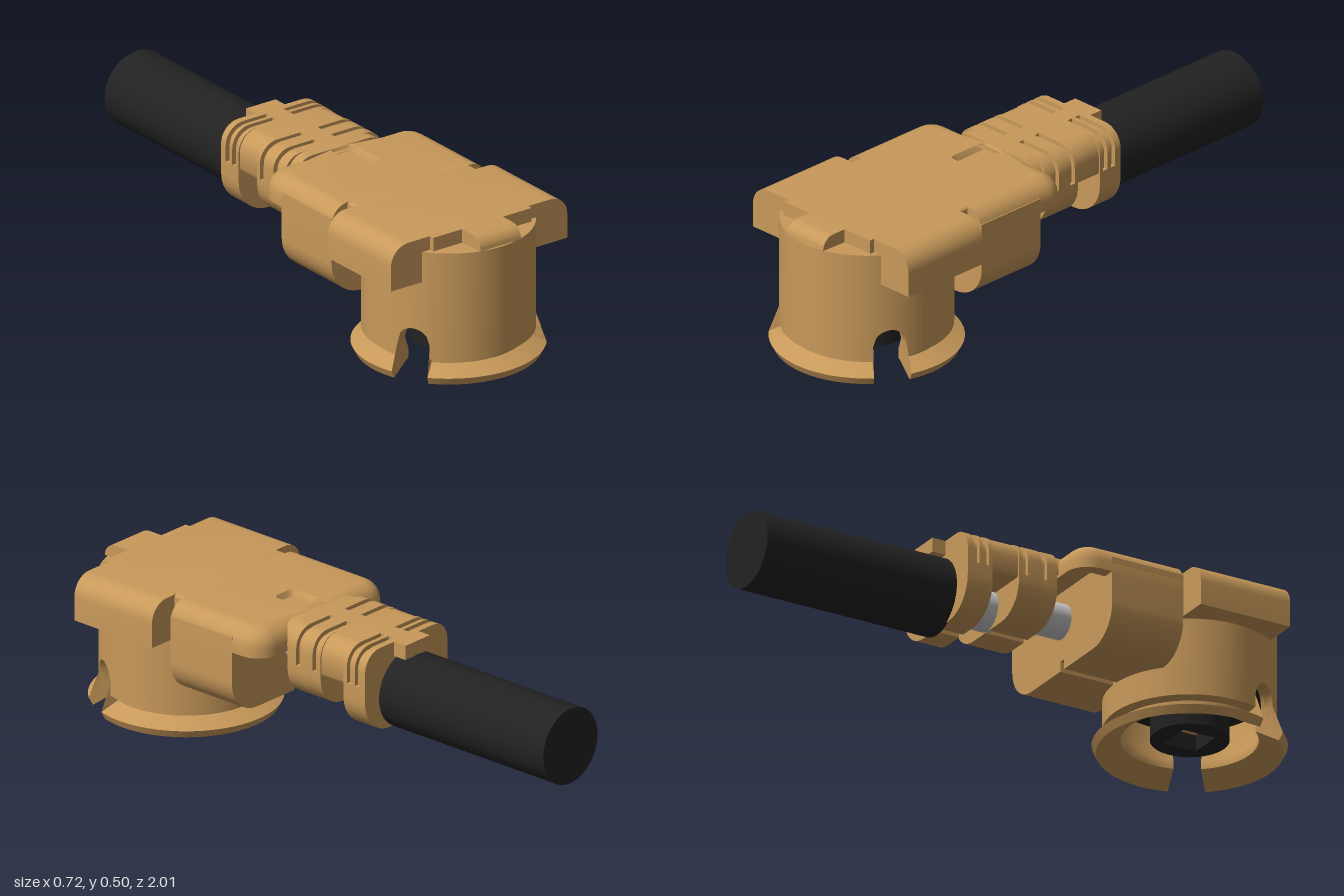
import * as THREE from 'three';
import { toCreasedNormals } from 'three/addons/utils/BufferGeometryUtils.js';

const brass = new THREE.MeshStandardMaterial({ color: 0xc8995a });
const brassThin = new THREE.MeshStandardMaterial({ color: 0xc8995a, side: THREE.DoubleSide });
const black = new THREE.MeshStandardMaterial({ color: 0x222222 });
const grey = new THREE.MeshStandardMaterial({ color: 0xcccccc });
const TOP = 0.505, CZ = 0.685, AXIS = 0.325;

// Skin over rings of equal point count
function loft(rings, wrap = false) {
  const n = rings[0].length, m = rings.length, idx = [];
  for (let i = 0; i < (wrap ? m : m - 1); i++) for (let j = 0; j < n; j++) {
    const a = i * n + j, b = ((i + 1) % m) * n + j;
    const c = ((i + 1) % m) * n + (j + 1) % n, d = i * n + (j + 1) % n;
    idx.push(a, b, c, a, c, d);
  }
  const g = new THREE.BufferGeometry();
  g.setAttribute('position', new THREE.Float32BufferAttribute(rings.flat(2), 3));
  g.setIndex(idx);
  return toCreasedNormals(g, 0.6);
}

// Horizontal rounded rectangle at height y, cut flat at z = zMax
function ring(cx, cz, hx, hz, r, y, zMax = 9) {
  const pts = [];
  for (let q = 0; q < 4; q++) for (let k = 0; k <= 6; k++) {
    const a = (q + k / 6) * Math.PI / 2;
    const sx = q === 0 || q === 3 ? 1 : -1, sz = q < 2 ? 1 : -1;
    pts.push([cx + sx * (hx - r) + r * Math.cos(a), y, Math.min(zMax, cz + sz * (hz - r) + r * Math.sin(a))]);
  }
  return pts;
}

// Quarter arc points from angle a0 to a1 (degrees)
function arc(cx, cy, r, a0, a1, n = 8) {
  return Array.from({ length: n + 1 }, (_, i) => {
    const a = THREE.MathUtils.degToRad(a0 + (a1 - a0) * i / n);
    return [cx + r * Math.cos(a), cy + r * Math.sin(a)];
  });
}

// Mirrored outline from its right half, top to bottom
function mirrored(half) {
  const left = half.map(([x, y]) => [-x, y]).reverse();
  return new THREE.Shape([...half, ...left].map(p => new THREE.Vector2(...p)));
}

function alongZ(shape, z0, z1) {
  const g = new THREE.ExtrudeGeometry(shape, { depth: z1 - z0, bevelEnabled: false });
  return toCreasedNormals(g.translate(0, 0, z0), 0.6);
}

// U channel with rounded shoulders
function channel(hx, low, inner, r) {
  return mirrored([...arc(hx - r, TOP - r, r, 90, 0), [hx, low], [inner, low], [inner, 0.457]]);
}

// Crimp section, optionally with a groove around each shoulder
function crimpShape(hx, low, r, groove) {
  const d = groove ? 0.016 : 0, half = [];
  if (groove) half.push([0.035, TOP], [0.035, TOP - d]);
  half.push(...arc(hx - 0.07, TOP - 0.07, 0.07 - d, 90, 0));
  if (groove) half.push([hx - d, 0.38], [hx, 0.38]);
  half.push(...arc(hx - r, low + r, r, 0, -90), [0.012, low], [0.012, low + 0.035]);
  return mirrored(half);
}

// Barrel wall with flared lip, swept round and opened by two arched slots
function barrelGeometry() {
  const profile = [[0.285, 0.457], [0.285, 0.078], [0.258, 0.068], [0.258, 0.056], [0.32, 0.027],
    [0.306, 0], [0.225, 0.045], [0.225, 0.075], [0.245, 0.105], [0.245, 0.457]];
  const arcs = [[17.5, 40.5, 12, true], [40.5, 139.5, 30, false], [139.5, 162.5, 12, true], [162.5, 377.5, 64, false]];
  const rings = [];
  for (const [a0, a1, n, slot] of arcs) for (let i = 0; i <= n; i++) {
    const a = THREE.MathUtils.degToRad(a0 + (a1 - a0) * i / n), t = 2 * i / n - 1;
    const arch = 0.123 + 0.057 * Math.sqrt(Math.max(0, 1 - t * t));
    rings.push(profile.map(([r, y]) => {
      if (slot) { r = THREE.MathUtils.clamp(r, 0.245, 0.285); y = Math.max(y, arch); }
      return [r * Math.cos(a), y, CZ + r * Math.sin(a)];
    }));
  }
  return loft(rings, true);
}

export function createModel() {
  const model = new THREE.Group();
  const add = (name, geo, mat = brass) => {
    const mesh = new THREE.Mesh(geo, mat);
    mesh.name = name;
    model.add(mesh);
    return mesh;
  };
  const box = (name, x, y0, y1, z0, z1) => add(name,
    new THREE.BoxGeometry(2 * x, y1 - y0, z1 - z0).translate(0, (y0 + y1) / 2, (z0 + z1) / 2));
  const rod = (name, r, y, z0, z1, mat) => add(name,
    new THREE.CylinderGeometry(r, r, z1 - z0, 48).rotateX(Math.PI / 2).translate(0, y, (z0 + z1) / 2), mat);

  // Mating barrel and its insulator
  add('barrel', barrelGeometry(), brassThin);
  add('barrelRoof', new THREE.CylinderGeometry(0.28, 0.28, 0.02, 64).translate(0, 0.446, CZ));
  add('insulatorBase', new THREE.CylinderGeometry(0.243, 0.243, 0.25, 48).translate(0, 0.315, CZ), black);
  const collar = new THREE.Shape().absarc(0, 0, 0.13, 0, Math.PI * 2);
  collar.holes.push(new THREE.Path([[-1, -1], [-1, 1], [1, 1], [1, -1]].map(([x, y]) => new THREE.Vector2(x * 0.06, y * 0.06))));
  const collarGeo = new THREE.ExtrudeGeometry(collar, { depth: 0.15, bevelEnabled: false, curveSegments: 24 });
  add('insulatorCollar', toCreasedNormals(collarGeo.rotateX(-Math.PI / 2).translate(0, 0.045, CZ), 0.6), black);
  box('contact', 0.058, 0.1, 0.2, CZ - 0.058, CZ + 0.058);

  // Cover with side wings, notched neck and front tab
  add('coverWings', alongZ(channel(0.36, 0.35, 0.23, 0.07), 0.51, 0.85));
  add('coverNeck', alongZ(channel(0.25, 0.35, 0.23, 0.01), 0.465, 0.515));
  box('coverFrontLip', 0.2, 0.457, TOP, 0.845, 0.868);
  const tab = new THREE.Shape([[0.84, 0.457], ...arc(0.922, 0.46, 0.045, 0, 90), [0.84, TOP]].map(p => new THREE.Vector2(...p)));
  const tabGeo = new THREE.ExtrudeGeometry(tab, { depth: 0.166, bevelEnabled: false });
  add('frontTab', toCreasedNormals(tabGeo.rotateY(-Math.PI / 2).translate(0.083, 0, 0), 0.6));

  // Rear cover: hollow below, rounded edges, small pocket on top
  const cover = (inset, y) => ring(0, 0.35, 0.315 - inset, 0.275 - inset, 0.08 - inset, y, 0.47);
  const pocket = (s, y) => ring(0, 0.18, 0.046 - s, 0.08 - s, 0.02, y);
  const rings = [ring(0, 0.35, 0.001, 0.001, 0.001, 0.46), cover(0.045, 0.46), cover(0.045, 0.41), cover(0, 0.41)];
  for (const [s, c] of arc(0, 0, 0.065, 0, 90, 7)) rings.push(cover(0.065 - s, TOP - 0.065 + c));
  rings.push(pocket(0, TOP), pocket(0.01, TOP - 0.02), ring(0, 0.18, 0.001, 0.001, 0.001, TOP - 0.02));
  add('rearCover', loft(rings));

  // Folded lower body
  add('foldedBody', alongZ(mirrored([[0.315, 0.462], ...arc(0.195, 0.3, 0.12, 0, -90, 12), [0.012, 0.18], [0.012, 0.215]]), 0.2, 0.47));

  // Crimp sections: [z0, z1, half width, lowest y, lower radius, grooved]
  const crimps = [
    [0.05, 0.1, 0.185, 0.42, 0.01, false],
    [0.022, 0.06, 0.2, 0.25, 0.11, false], [0.002, 0.022, 0.2, 0.25, 0.11, true],
    [-0.05, 0.002, 0.2, 0.25, 0.11, false], [-0.07, -0.05, 0.2, 0.25, 0.11, true],
    [-0.085, -0.07, 0.2, 0.25, 0.11, false], [-0.185, -0.085, 0.195, 0.37, 0.01, false],
    [-0.2, -0.185, 0.2, 0.21, 0.12, false], [-0.22, -0.2, 0.2, 0.21, 0.12, true],
    [-0.235, -0.22, 0.2, 0.21, 0.12, false], [-0.255, -0.235, 0.2, 0.21, 0.12, true],
    [-0.28, -0.255, 0.2, 0.21, 0.12, false],
  ];
  for (const [z0, z1, hx, low, r, groove] of crimps) add('crimp', alongZ(crimpShape(hx, low, r, groove), z0, z1));
  box('rearTab', 0.06, 0.455, TOP, -0.33, -0.275);

  // Cable and its stripped core
  rod('cableCore', 0.06, 0.352, 0.09, 0.25, grey);
  rod('cableCoreStep', 0.052, 0.336, 0.05, 0.1, grey);
  rod('cableBraid', 0.07, 0.322, -0.2, -0.07, grey);
  rod('cableJacket', 0.132, AXIS, -1, -0.275, black);
  return model;
}
